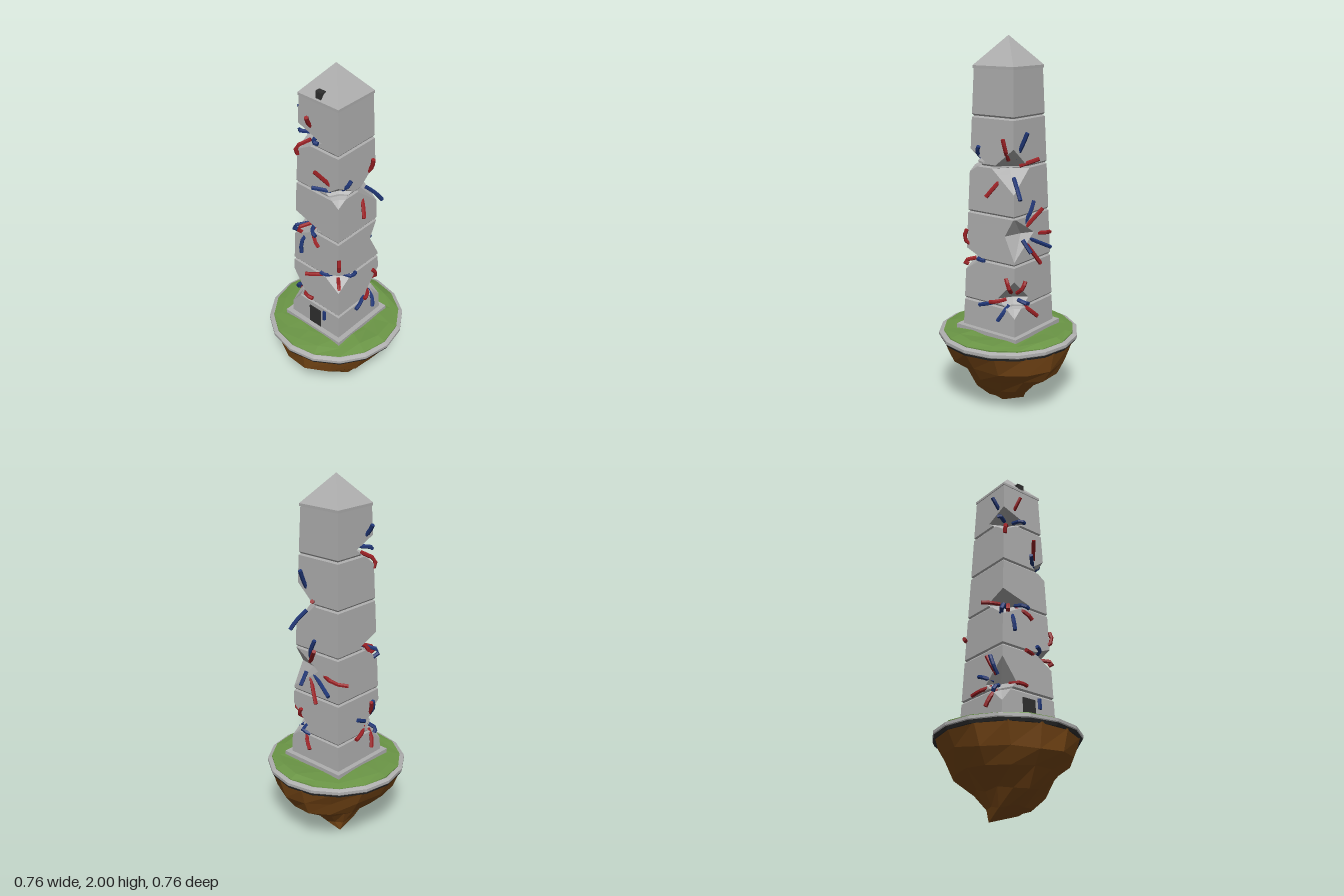
import * as THREE from 'three';

const mat = (name, color) => Object.assign(new THREE.MeshStandardMaterial({ color, flatShading: true }), { name });

let seed = 7;
const rand = () => (seed = (seed * 16807) % 2147483647) / 2147483647;
const V = (x, y, z) => new THREE.Vector3(x, y, z);

// Skin a stack of closed rings (each counter-clockwise about the stacking direction), with end caps
function loft(rings) {
  const pos = [];
  const tri = (...p) => {
    const area = p[1].clone().sub(p[0]).cross(p[2].clone().sub(p[0])).length();
    if (area > 1e-9) p.forEach(v => pos.push(v.x, v.y, v.z));
  };
  const n = rings[0].length;
  for (let i = 0; i < rings.length - 1; i++) {
    for (let j = 0; j < n; j++) {
      const k = (j + 1) % n, a = rings[i], b = rings[i + 1];
      tri(a[j], a[k], b[k]);
      tri(a[j], b[k], b[j]);
    }
  }
  const first = rings[0], last = rings[rings.length - 1];
  const mean = r => r.reduce((s, v) => s.add(v), V(0, 0, 0)).divideScalar(n);
  const c0 = mean(first), c1 = mean(last);
  for (let j = 0; j < n; j++) {
    const k = (j + 1) % n;
    tri(c0, first[k], first[j]);
    tri(c1, last[j], last[k]);
  }
  const g = new THREE.BufferGeometry();
  g.setAttribute('position', new THREE.Float32BufferAttribute(pos, 3));
  g.computeVertexNormals();
  return g;
}

// Horizontal ring with separate reach in each direction and optional roughness
function ring(n, y, xMin, xMax, zMin, zMax, rough, yRough) {
  return Array.from({ length: n }, (_, i) => {
    const a = i / n * Math.PI * 2, c = Math.cos(a), s = -Math.sin(a);
    const f = 1 + (rand() - 0.5) * rough;
    return V((c > 0 ? c * xMax : -c * xMin) * f, y + (rand() - 0.5) * yRough, (s > 0 ? s * zMax : -s * zMin) * f);
  });
}
const disc = (n, y, r, rough = 0, yRough = 0) => ring(n, y, -r, r, -r, r, rough, yRough);

// Tower: tapered square shaft with seams and chunks broken out of its corners
const wall = y => THREE.MathUtils.mapLinear(y, 0.47, 1.84, 0.173, 0.125);
const SEAMS = [0.62, 0.85, 1.1, 1.35, 1.6];
const CORNERS = [[1, 1], [1, -1], [-1, -1], [-1, 1]];
// corner index, bottom, deepest, top, reach along x, reach along z
const BREAKS = [
  [0, 0.78, 0.855, 0.9, 0.11, 0.11], [0, 1.31, 1.37, 1.43, 0.08, 0.1],
  [1, 0.57, 0.66, 0.77, 0.12, 0.11], [1, 0.87, 1.0, 1.1, 0.17, 0.06], [1, 1.22, 1.34, 1.45, 0.13, 0.14],
  [3, 0.54, 0.66, 0.78, 0.09, 0.13], [3, 1.02, 1.12, 1.17, 0.18, 0.13], [3, 1.54, 1.635, 1.69, 0.16, 0.13],
];
function shaftRing(y) {
  const groove = Math.max(...SEAMS.map(s => 1 - Math.abs(y - s) / 0.009), 0) * 0.007;
  const w = wall(y) - groove;
  return CORNERS.flatMap(([sx, sz], i) => {
    let a = 0, b = 0;
    for (const [c, y0, yp, y1, bx, bz] of BREAKS) {
      if (c !== i) continue;
      const t = Math.max(0, Math.min((y - y0) / (yp - y0), (y1 - y) / (y1 - yp)));
      a += bx * t;
      b += bz * t;
    }
    const pts = [[w - a, w], [w - a * 0.6, w - b * 0.6], [w, w - b]].map(([x, z]) => V(x * sx, y, z * sz));
    return i % 2 ? pts.reverse() : pts;
  });
}

// Short bent tube with closed ends
function tubeGeometry(points) {
  const tube = new THREE.TubeGeometry(new THREE.CatmullRomCurve3(points), 4, 0.011, 6);
  const p = tube.attributes.position;
  const rings = [];
  for (let i = 0; i <= 4; i++) {
    rings.push(Array.from({ length: 6 }, (_, j) => V(0, 0, 0).fromBufferAttribute(p, i * 7 + 5 - j)));
  }
  return loft(rings);
}

// Vine: leaves the nearest break, bends over the wall and stops at its tip
const ROOTS = BREAKS.map(([c, , y, , bx, bz]) =>
  V(CORNERS[c][0] * (wall(y) - bx * 0.45), y, CORNERS[c][1] * (wall(y) - bz * 0.45)));
function vineGeometry(tip) {
  const end = V(...tip);
  const root = ROOTS.reduce((best, r) => (r.distanceTo(end) < best.distanceTo(end) ? r : best));
  const start = root.clone().lerp(end, 0.3);
  const bend = start.clone().lerp(end, 0.5);
  const push = Math.max(1, (wall(bend.y) + 0.012) / Math.max(Math.abs(bend.x), Math.abs(bend.z)));
  bend.x *= push;
  bend.z *= push;
  return tubeGeometry([start, bend, end]);
}
const RED_TIPS = [
  [-0.04, 1.765, 0.165], [0.03, 1.505, 0.19], [-0.13, 1.515, 0.14],
  [0.165, 1.5, -0.09], [0.19, 1.2, 0], [-0.01, 1.39, -0.19],
  [0.03, 1.03, 0.17], [-0.11, 1.04, 0.14], [-0.2, 1.115, 0.03],
  [-0.03, 1.13, -0.2], [-0.195, 0.96, -0.12], [-0.03, 0.83, -0.19],
  [-0.04, 0.83, 0.2], [0.16, 1.0, 0.155], [0.155, 0.81, 0.15],
  [0.165, 0.78, -0.11], [0.19, 0.64, -0.02], [0.09, 0.76, -0.18], [0.01, 0.55, -0.2],
  [-0.19, 0.8, 0.07], [-0.19, 0.62, -0.05], [-0.195, 0.53, 0.07], [-0.015, 0.65, 0.175],
];
const BLUE_TIPS = [
  [-0.17, 1.755, 0.08], [0.01, 1.63, 0.14], [-0.15, 1.63, 0.1],
  [0.01, 1.405, 0.19], [0.16, 1.45, 0.07], [0.08, 1.53, -0.18], [0.15, 1.2, -0.19],
  [0, 1.17, -0.165], [0.07, 0.91, -0.2], [-0.12, 0.9, -0.19],
  [-0.145, 1.03, 0.13], [0.01, 1.09, 0.17], [-0.09, 0.935, 0.175],
  [0.05, 0.88, 0.18], [0.165, 0.85, 0.03],
  [0.19, 0.61, 0.05], [0.2, 0.55, -0.08], [0.04, 0.62, -0.16],
  [-0.185, 0.8, 0.09], [-0.18, 0.6, 0.11], [-0.17, 0.72, -0.02],
];

export function createModel() {
  const stone = mat('stone', 0xafafaf), rock = mat('earth brown', 0x7c4a17), grass = mat('grass green', 0x6b9646);
  const dark = mat('dark iron', 0x303030), red = mat('red vine', 0x9a2024), blue = mat('blue vine', 0x1f3676);
  const model = new THREE.Group();
  const add = (name, geometry, material, x = 0, y = 0, z = 0) => {
    const mesh = new THREE.Mesh(geometry, material);
    mesh.name = name;
    mesh.position.set(x, y, z);
    model.add(mesh);
    return mesh;
  };
  const box = (name, w, h, d, material, x, y, z) => add(name, new THREE.BoxGeometry(w, h, d), material, x, y, z);

  // Floating island
  add('islandRock', loft([
    Array(14).fill(V(-0.075, 0, -0.05)),
    ring(14, 0.06, -0.1, 0.12, -0.1, 0.11, 0.1, 0.02),
    ring(14, 0.14, -0.145, 0.19, -0.17, 0.2, 0.16, 0.04),
    ring(14, 0.22, -0.25, 0.25, -0.28, 0.28, 0.12, 0.04),
    ring(14, 0.3, -0.315, 0.31, -0.335, 0.345, 0.06, 0.04),
    disc(14, 0.4, 0.368),
  ]), rock);
  add('islandUnderRim', loft([disc(16, 0.393, 0.37), disc(16, 0.408, 0.378)]), dark);
  add('islandRim', loft([disc(16, 0.408, 0.378), disc(16, 0.413, 0.381), disc(16, 0.428, 0.381), disc(16, 0.436, 0.36)]), stone);
  add('grass', loft([
    disc(16, 0.43, 0.358), disc(16, 0.441, 0.357, 0.015, 0.006),
    disc(16, 0.45, 0.31, 0.08, 0.012), disc(16, 0.454, 0.22, 0.08, 0.01),
  ]), grass);

  // Tower
  box('plinth', 0.4, 0.032, 0.4, stone, 0, 0.456, 0);
  const levels = new Set([0.47, 1.84]);
  SEAMS.forEach(s => [s - 0.009, s, s + 0.009].forEach(y => levels.add(y)));
  BREAKS.forEach(b => b.slice(1, 4).forEach(y => levels.add(y)));
  add('towerShaft', loft([...levels].sort((a, b) => a - b).map(shaftRing)), stone);
  box('capSlab', 0.258, 0.014, 0.258, stone, 0, 1.845, 0);
  const cap = add('pyramidCap', new THREE.ConeGeometry(0.129 * Math.SQRT2, 0.148, 4), stone, 0, 1.926, 0);
  cap.rotation.y = Math.PI / 4;

  // Door with its handle, and cap window
  box('door', 0.08, 0.115, 0.012, dark, 0, 0.528, 0.169);
  add('doorHandle', tubeGeometry([V(0.068, 0.6, 0.17), V(0.068, 0.575, 0.173), V(0.068, 0.545, 0.173)]), blue);
  box('windowPane', 0.034, 0.04, 0.026, dark, 0, 1.872, 0.11);
  box('windowLintel', 0.042, 0.007, 0.03, dark, 0, 1.891, 0.105);

  // Vines growing from the breaks
  RED_TIPS.forEach(tip => add('redVine', vineGeometry(tip), red));
  BLUE_TIPS.forEach(tip => add('blueVine', vineGeometry(tip), blue));
  return model;
}
